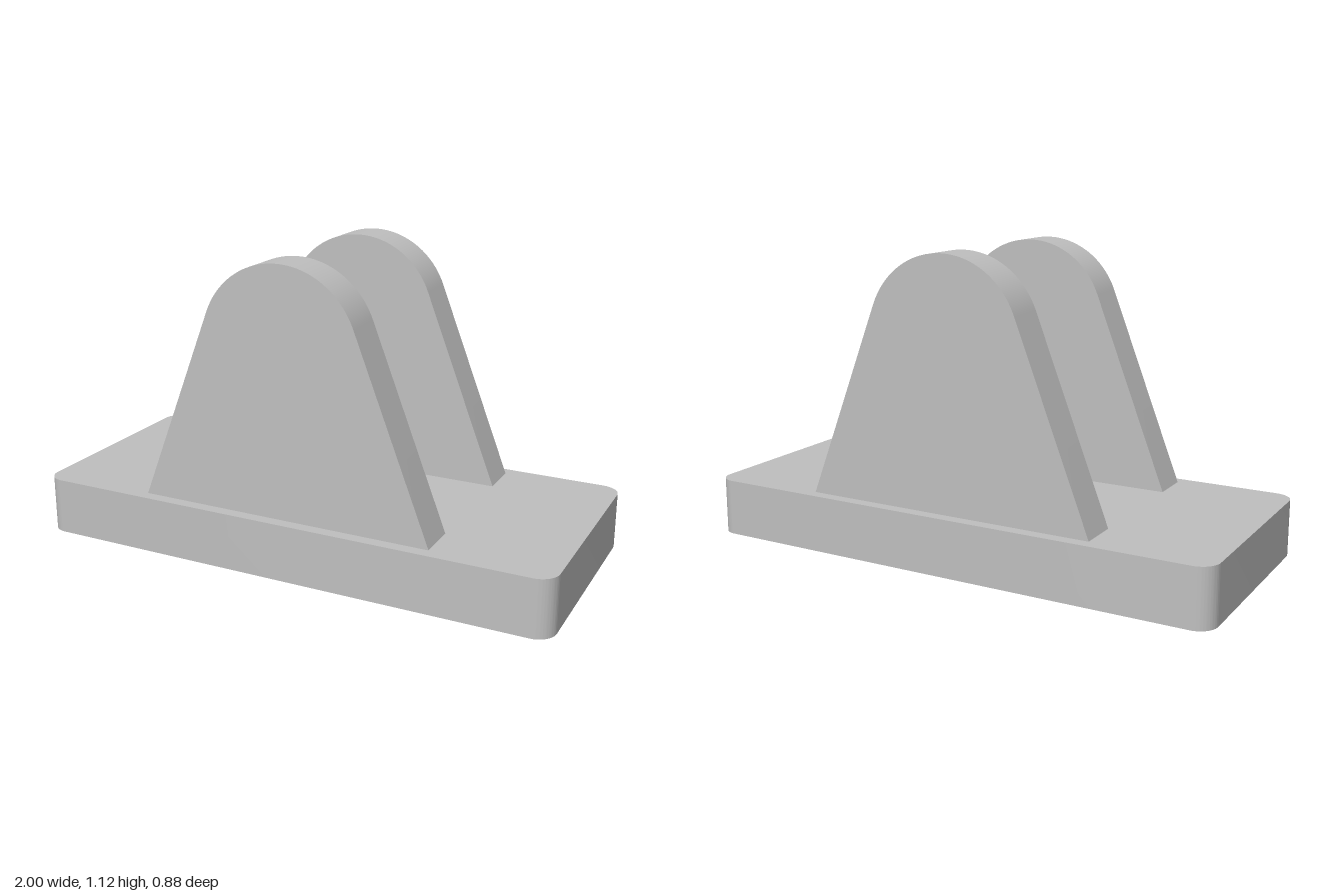
import * as THREE from 'three';
import { toCreasedNormals } from 'three/addons/utils/BufferGeometryUtils.js';

const BASE_TOP = 0.212;

// Extrudes a shape with smooth curves and sharp corners
function extrude(shape, depth) {
  const geometry = new THREE.ExtrudeGeometry(shape, { depth, bevelEnabled: false, curveSegments: 24 });
  return toCreasedNormals(geometry, 0.4);
}

// Rectangle with rounded corners, centred on the origin
function roundedRectangle(width, height, r) {
  const x = width / 2 - r, y = height / 2 - r;
  const shape = new THREE.Shape();
  shape.absarc(x, y, r, 0, Math.PI / 2);
  shape.absarc(-x, y, r, Math.PI / 2, Math.PI);
  shape.absarc(-x, -y, r, Math.PI, Math.PI * 1.5);
  shape.absarc(x, -y, r, Math.PI * 1.5, Math.PI * 2);
  shape.closePath();
  return shape;
}

// Tapered upright whose straight flanks run tangent into a round top
function lugShape(halfWidth, top, r) {
  const centre = top - r;
  const drop = centre - BASE_TOP;
  const tangent = Math.acos(r / Math.hypot(halfWidth, drop)) - Math.atan2(drop, halfWidth);
  const shape = new THREE.Shape();
  shape.moveTo(-halfWidth, BASE_TOP);
  shape.lineTo(halfWidth, BASE_TOP);
  shape.absarc(0, centre, r, tangent, Math.PI - tangent);
  shape.closePath();
  return shape;
}

export function createModel() {
  const model = new THREE.Group();
  model.name = 'clevisBracket';
  const grey = new THREE.MeshStandardMaterial({ color: 0xc0c0c0 });
  grey.name = 'light grey';

  // Base plate lying flat
  const base = new THREE.Mesh(extrude(roundedRectangle(2, 0.876, 0.07), BASE_TOP), grey);
  base.name = 'basePlate';
  base.rotation.x = -Math.PI / 2;
  model.add(base);

  // Pair of upright lugs
  const thickness = 0.152;
  const lugGeometry = extrude(lugShape(0.56, 1.122, 0.3), thickness);
  for (const [name, z] of [['frontLug', 0.318], ['backLug', -0.318]]) {
    const lug = new THREE.Mesh(lugGeometry, grey);
    lug.name = name;
    lug.position.z = z - thickness / 2;
    model.add(lug);
  }
  return model;
}
